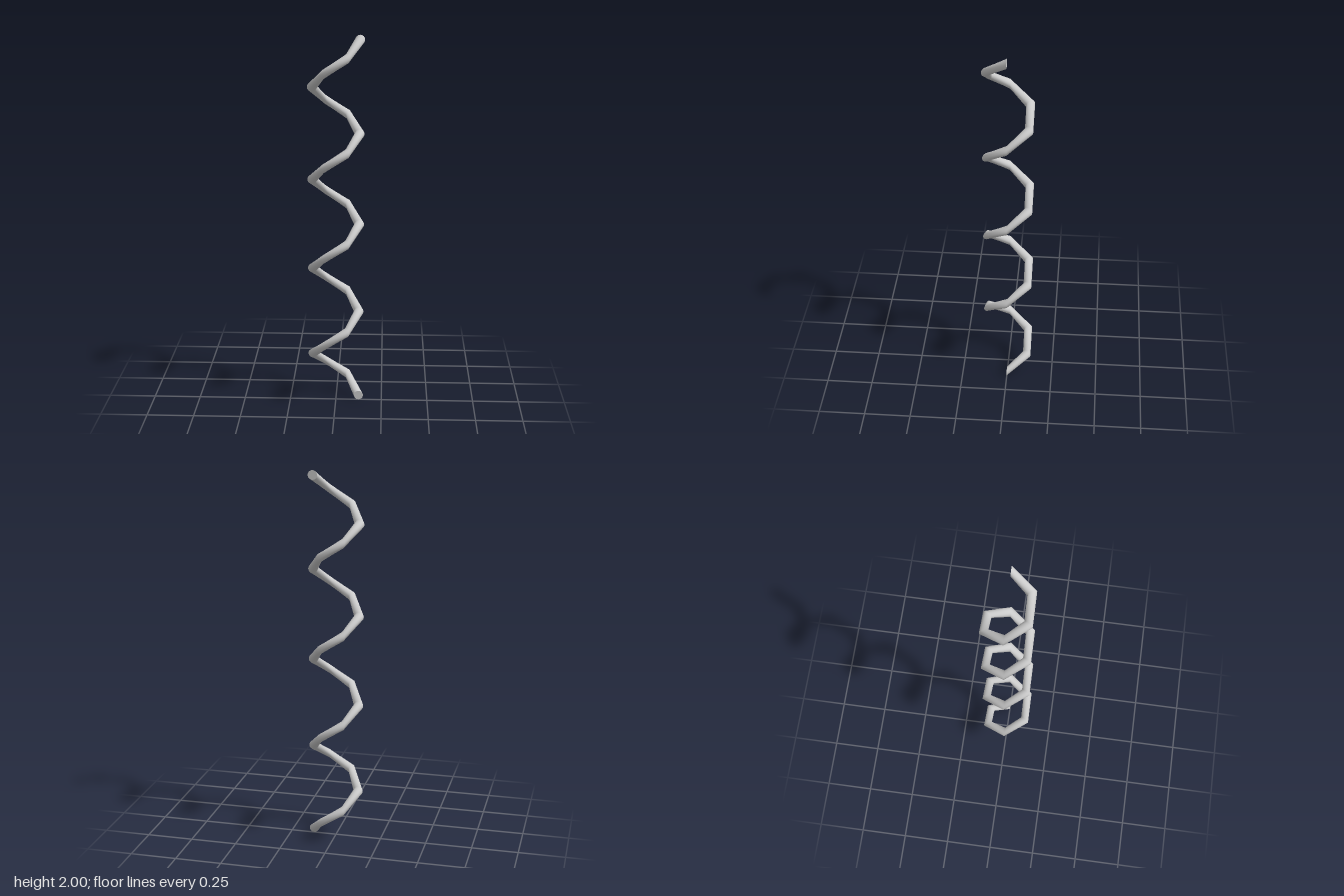
import * as THREE from 'three';

const COIL_RADIUS = 0.124, WIRE_RADIUS = 0.025, HEIGHT = 2;
const TURNS = 4, STEPS_PER_TURN = 6, SIDES = 24;

// Round section kept in the vertical plane through the axis, swept in a six-sided helix
function helixGeometry() {
  const steps = TURNS * STEPS_PER_TURN;
  const rise = (HEIGHT - 2 * WIRE_RADIUS) / steps;
  const positions = [], indices = [];
  for (let i = 0; i <= steps; i++) {
    const turn = (i / STEPS_PER_TURN) * Math.PI * 2;
    for (let j = 0; j < SIDES; j++) {
      const p = (j / SIDES) * Math.PI * 2;
      const radius = COIL_RADIUS + WIRE_RADIUS * Math.cos(p);
      positions.push(
        radius * Math.cos(turn),
        WIRE_RADIUS + i * rise + WIRE_RADIUS * Math.sin(p),
        -radius * Math.sin(turn)
      );
      if (i < steps) {
        const k = (j + 1) % SIDES;
        const a = i * SIDES + j, b = a + SIDES;
        const c = i * SIDES + k, d = c + SIDES;
        indices.push(a, b, c, b, d, c);
      }
    }
  }
  const geometry = new THREE.BufferGeometry();
  geometry.setAttribute('position', new THREE.Float32BufferAttribute(positions, 3));
  geometry.setIndex(indices);
  geometry.computeVertexNormals();
  return geometry;
}

export function createModel() {
  const group = new THREE.Group();
  group.name = 'spiralSpring';
  const material = new THREE.MeshStandardMaterial({ color: 0xcccccc });

  const coil = new THREE.Mesh(helixGeometry(), material);
  coil.name = 'coil';
  group.add(coil);

  // Flat ends of the wire
  const addEnd = (name, y, turn) => {
    const end = new THREE.Mesh(new THREE.CircleGeometry(WIRE_RADIUS, SIDES), material);
    end.name = name;
    end.position.set(COIL_RADIUS, y, 0);
    end.rotation.y = turn;
    group.add(end);
  };
  addEnd('bottomEnd', WIRE_RADIUS, 0);
  addEnd('topEnd', HEIGHT - WIRE_RADIUS, Math.PI);

  return group;
}
